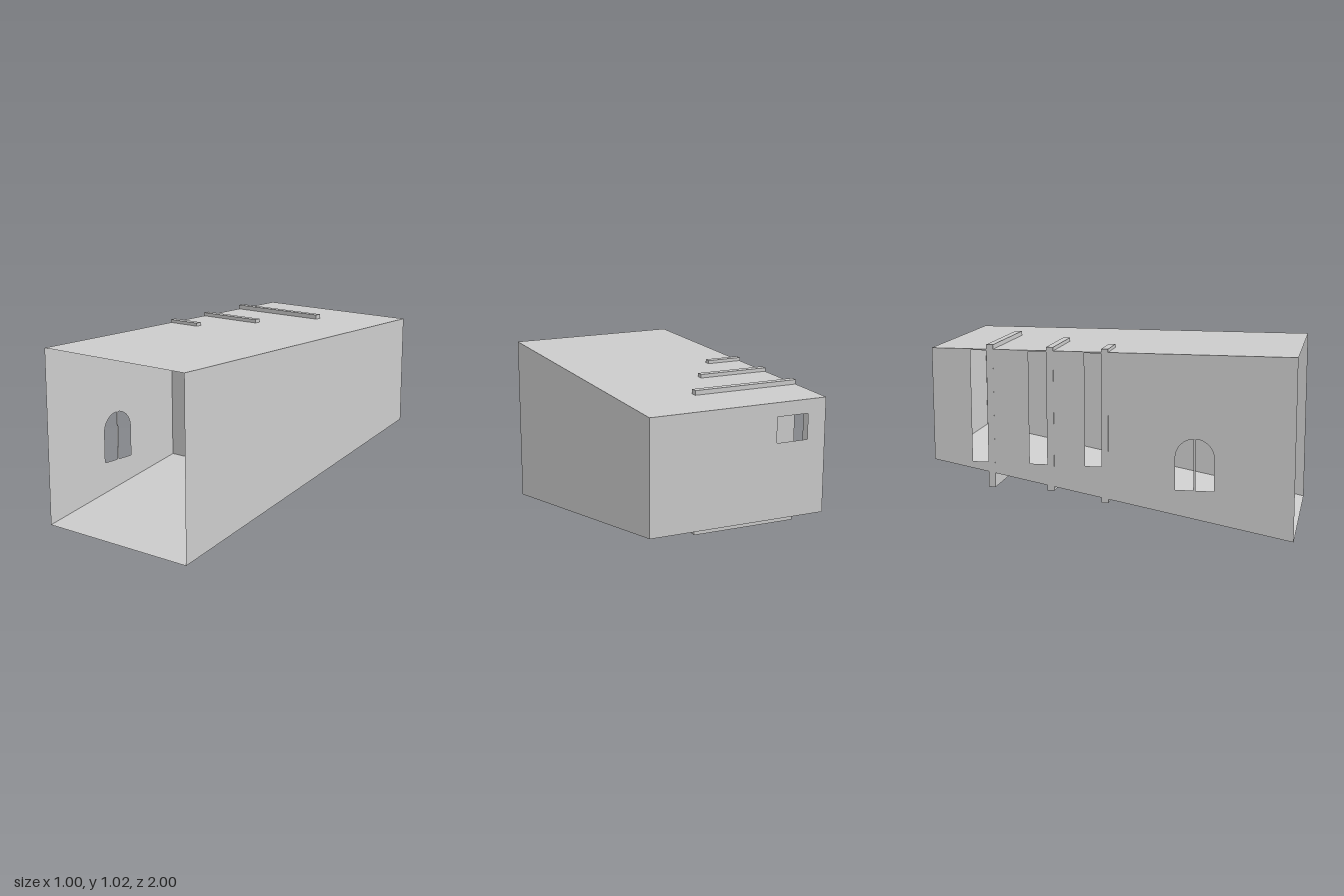
import * as THREE from 'three';

const mat = new THREE.MeshStandardMaterial({ color: 0xcccccc, side: THREE.DoubleSide, flatShading: true });
const H = 1, RISE = 0.373; // ceiling height, floor height at the back

// Closed outline from [u, v] corners
const outline = (pts, Type = THREE.Shape) => new Type(pts.map(([u, v]) => new THREE.Vector2(u, v)));
const rect = (u0, v0, u1, v1, Type) => outline([[u0, v0], [u1, v0], [u1, v1], [u0, v1]], Type);

export function createModel() {
  const group = new THREE.Group();
  const add = (name, geometry) => {
    const mesh = new THREE.Mesh(geometry, mat);
    mesh.name = name;
    group.add(mesh);
    return mesh;
  };

  // Partitions that run through roof, floor and the right wall
  const partitions = [
    { z0: -0.05, z1: -0.012, x0: -0.503, x1: -0.3, y0: 0.168, y1: 1.018, slot: 0.093 },
    { z0: -0.354, z1: -0.315, x0: -0.503, x1: -0.1, y0: 0.223, y1: 1.02, slot: 0.1 },
    { z0: -0.69, z1: -0.652, x0: -0.5005, x1: 0.1, y0: 0.228, y1: 1.025, slot: 0.09 },
  ];
  for (const p of partitions) {
    add('partition', new THREE.BoxGeometry(p.x1 - p.x0, p.y1 - p.y0, p.z1 - p.z0))
      .position.set((p.x0 + p.x1) / 2, (p.y0 + p.y1) / 2, (p.z0 + p.z1) / 2);
  }

  // Side walls: drawn in (z, y), with the bottom edge following the sloping floor
  const sideProfile = () => outline([[1, 0], [1, H], [-1, H], [-1, RISE]]);
  const leftWall = new THREE.ShapeGeometry(sideProfile()).rotateY(-Math.PI / 2).translate(0.5, 0, 0);
  add('leftWall', leftWall);

  const right = sideProfile();
  // Tall light slots just behind each partition
  for (const p of partitions) right.holes.push(rect(p.z0 - p.slot, 0.37, p.z0, 0.993, THREE.Path));
  // Arched window split by a narrow central mullion
  const zc = 0.461, r = 0.106, sill = 0.26, spring = 0.438, m = 0.006;
  const a = Math.acos(m / r);
  const front = new THREE.Path();
  front.moveTo(zc + m, sill);
  front.lineTo(zc + r, sill);
  front.absarc(zc, spring, r, 0, a, false);
  front.closePath();
  const back = new THREE.Path();
  back.moveTo(zc - m, sill);
  back.lineTo(zc - r, sill);
  back.absarc(zc, spring, r, Math.PI, Math.PI - a, true);
  back.closePath();
  right.holes.push(front, back);
  add('rightWall', new THREE.ShapeGeometry(right, 16).rotateY(-Math.PI / 2).translate(-0.5, 0, 0));

  // Back wall with a small rectangular window
  const backShape = rect(-0.5, RISE, 0.5, H);
  backShape.holes.push(rect(-0.395, 0.785, -0.215, 0.924, THREE.Path));
  add('backWall', new THREE.ShapeGeometry(backShape).translate(0, 0, -1));

  // Flat roof and sloping floor
  add('roof', new THREE.PlaneGeometry(1, 2).rotateX(-Math.PI / 2).translate(0, H, 0));
  add('floor', new THREE.PlaneGeometry(1, Math.hypot(2, RISE))
    .rotateX(-Math.PI / 2 + Math.atan(RISE / 2)).translate(0, RISE / 2, 0));

  return group;
}
